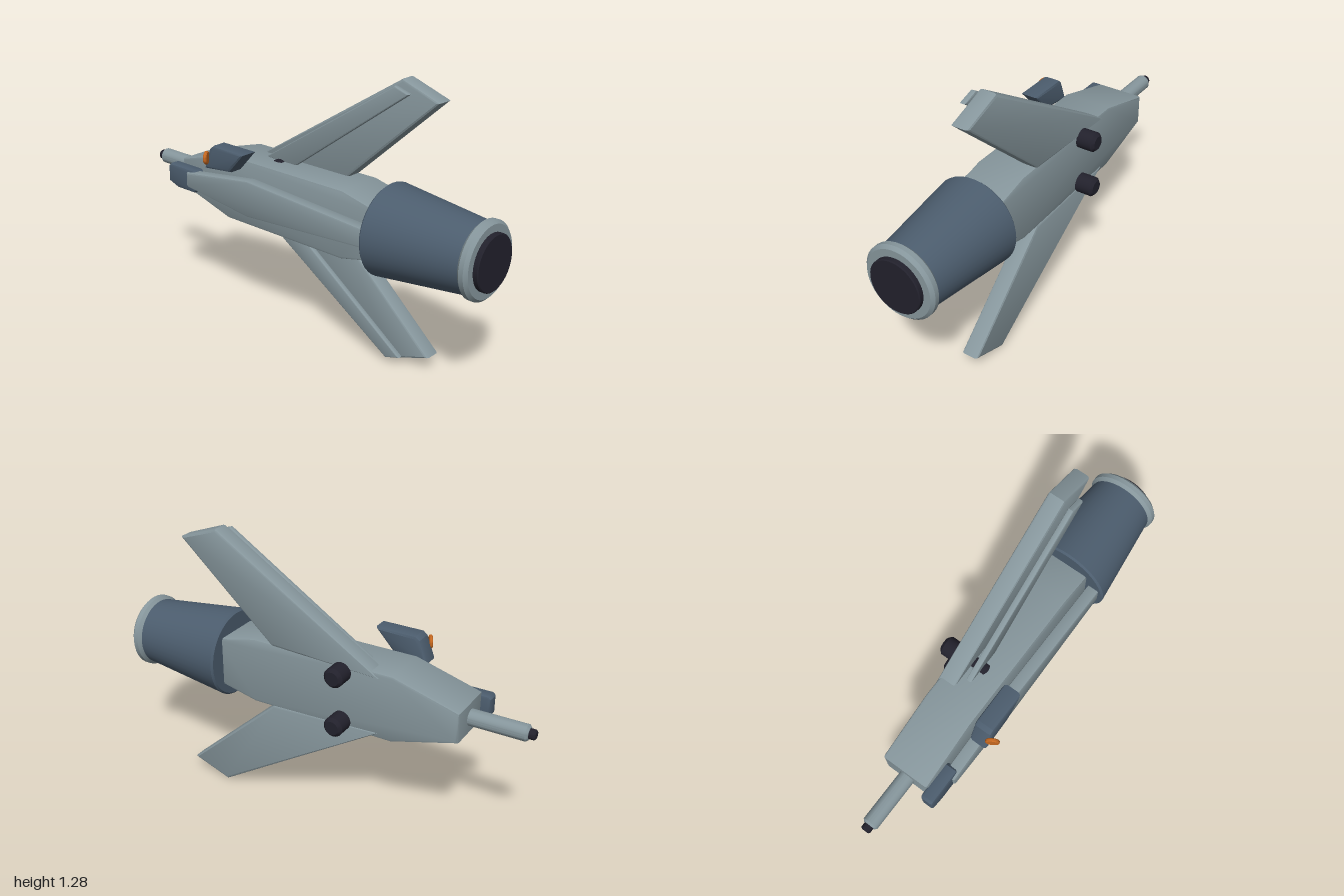
import * as THREE from 'three';
import { toCreasedNormals } from 'three/addons/utils/BufferGeometryUtils.js';

const CY = 0.644, CZ = -0.027; // height and depth of the main axis

function material(name, color) {
  const m = new THREE.MeshStandardMaterial({ color });
  m.name = name;
  return m;
}

// Plate with bevelled edges: outline in x/y, spanning z0..z1
function plate(points, z0, z1, bevel) {
  const shape = new THREE.Shape(points.map(([x, y]) => new THREE.Vector2(x, y)));
  const geo = new THREE.ExtrudeGeometry(shape, {
    depth: z1 - z0 - 2 * bevel, bevelEnabled: true, bevelSegments: 2,
    bevelSize: bevel, bevelThickness: bevel, bevelOffset: -bevel,
  });
  geo.translate(0, 0, z0 + bevel);
  return toCreasedNormals(geo, 0.5);
}

// Round part: profile of [radius, position along the axis]
function turned(profile, segments = 40) {
  const geo = new THREE.LatheGeometry(profile.map(([r, t]) => new THREE.Vector2(r, t)), segments);
  return toCreasedNormals(geo, 0.5);
}

// Solid cylinder profile with chamfered ends
function drum(r, a, b, c) {
  return [[0, a], [r - c, a], [r, a + c], [r, b - c], [r - c, b], [0, b]];
}

export function createModel() {
  const model = new THREE.Group();
  model.name = 'spacecraft';
  const grey = material('hullGrey', 0x86969c);
  const slate = material('slateBlue', 0x4c5d6e);
  const black = material('darkMetal', 0x22212c);
  const orange = material('orange', 0xc4671f);

  function add(name, geo, mat) {
    const mesh = new THREE.Mesh(geo, mat);
    mesh.name = name;
    model.add(mesh);
    return mesh;
  }
  // Turned part lying along x on the main axis
  function addAxial(name, profile, mat, segments) {
    const geo = turned(profile, segments).rotateZ(-Math.PI / 2).translate(0, CY, CZ);
    return add(name, geo, mat);
  }

  // Hull
  const upper = [[-0.71, 0.07], [-0.4, 0.158], [0.3, 0.158], [0.5, 0.112]];
  const outline = [
    ...upper.map(([x, h]) => [x, CY - h]),
    ...upper.slice().reverse().map(([x, h]) => [x, CY + h]),
  ];
  add('hull', plate(outline, -0.15, 0.085, 0.012), grey);

  // Raised panel on the front of the hull
  add('spinePanel', plate([
    [-0.61, 0.612], [-0.2, 0.565], [0.48, 0.61],
    [0.48, 0.695], [-0.2, 0.738], [-0.61, 0.682],
  ], 0.098, 0.155, 0.008), grey);

  // Nose block
  add('noseBlock', plate([
    [-0.752, 0.605], [-0.69, 0.583], [-0.575, 0.583], [-0.56, 0.598],
    [-0.56, 0.68], [-0.575, 0.695], [-0.74, 0.695], [-0.752, 0.683],
  ], 0.08, 0.143, 0.012), slate);

  // Wings, wing strips and rear pods, mirrored about the main axis
  const wing = [[-0.345, 0.13], [0.2, 0.15], [0.67, 0.573], [0.48, 0.642]];
  const strip = [[-0.245, 0.16], [-0.08, 0.145], [0.55, 0.596], [0.475, 0.62]];
  for (const [side, s] of [['upper', 1], ['lower', -1]]) {
    const place = (pts) => pts.map(([x, h]) => [x, CY + s * h]);
    add(side + 'Wing', plate(place(wing), -0.153, -0.072, 0.012), grey);
    add(side + 'WingStrip', plate(place(strip), -0.051, -0.025, 0.006), grey);
    const pod = turned(drum(0.046, -0.236, 0.008, 0.014), 24);
    pod.rotateX(Math.PI / 2).translate(-0.158, CY + s * 0.12, 0);
    add(side + 'Pod', pod, black);
  }

  // Engine
  addAxial('engineBell', [
    [0, 0.473], [0.2, 0.473], [0.208, 0.482], [0.156, 0.93], [0, 0.93],
  ], slate);
  addAxial('engineRing', drum(0.171, 0.927, 0.977, 0.014), grey);
  addAxial('engineNozzle', drum(0.124, 0.97, 1, 0.004), black);

  // Nose barrel
  addAxial('barrel', drum(0.037, -0.972, -0.69, 0.01), grey, 24);
  addAxial('barrelTip', drum(0.023, -1, -0.96, 0.006), black, 20);

  // Side turret with its orange lens
  add('turret', plate([
    [-0.435, 0.756], [-0.27, 0.772], [-0.178, 0.874], [-0.375, 0.876], [-0.397, 0.86],
  ], 0.108, 0.194, 0.014), slate);
  const lens = turned(drum(0.031, -0.008, 0.008, 0.004), 24).rotateZ(-Math.PI / 2);
  const lensMesh = add('turretLens', lens, orange);
  lensMesh.position.set(-0.403, 0.818, 0.207);
  lensMesh.rotation.y = 0.53;

  return model;
}
